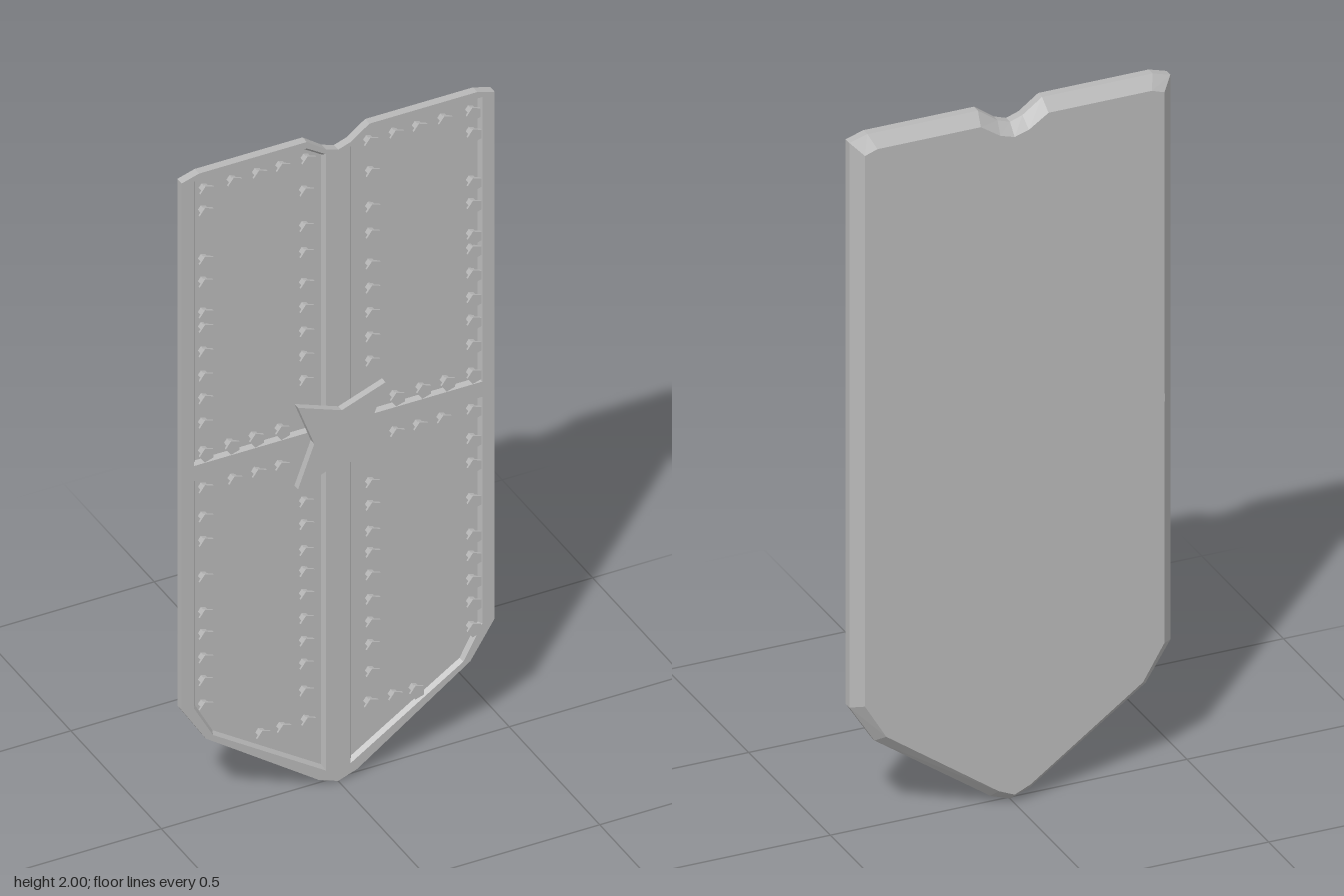
import * as THREE from 'three';

const steel = new THREE.MeshStandardMaterial({ color: 0xb8b8b8, flatShading: true });
steel.name = 'steel grey';

const FRONT = 0.016, FLOOR = 0.004;

// Turns [x, y] pairs into points with a chosen winding
function ring(pairs, clockwise = false) {
  const pts = pairs.map(([x, y]) => new THREE.Vector2(x, y));
  return THREE.ShapeUtils.isClockWise(pts) === clockwise ? pts : pts.reverse();
}

// Right half of an outline, bottom to top, mirrored to a full loop
function symmetric(half) {
  const mirrored = half.slice(1, -1).reverse().map(([x, y]) => [-x, y]);
  return ring([...half, ...mirrored]);
}

// Joins rings at given depths (front to back) and caps the last one
function loft(rings, depths, capSign) {
  const pos = [];
  const put = (p, z) => pos.push(p.x, p.y, z);
  for (let r = 0; r < rings.length - 1; r++) {
    const A = rings[r], B = rings[r + 1], za = depths[r], zb = depths[r + 1];
    for (let i = 0; i < A.length; i++) {
      const j = (i + 1) % A.length;
      put(A[i], za); put(B[i], zb); put(A[j], za);
      put(A[j], za); put(B[i], zb); put(B[j], zb);
    }
  }
  const last = rings[rings.length - 1], z = depths[depths.length - 1];
  for (const tri of THREE.ShapeUtils.triangulateShape(last, [])) {
    const [a, b, c] = tri.map((i) => last[i]);
    const area = (b.x - a.x) * (c.y - a.y) - (b.y - a.y) * (c.x - a.x);
    (area * capSign > 0 ? [a, b, c] : [a, c, b]).forEach((p) => put(p, z));
  }
  const geo = new THREE.BufferGeometry();
  geo.setAttribute('position', new THREE.Float32BufferAttribute(pos, 3));
  geo.computeVertexNormals();
  return geo;
}

export function createModel() {
  const group = new THREE.Group();
  group.name = 'shield';
  const add = (name, geo, parent = group) => {
    const mesh = new THREE.Mesh(geo, steel);
    mesh.name = name;
    parent.add(mesh);
    return mesh;
  };

  // Body: straight rim, then a chamfer to a smaller back face
  const outline = symmetric([[0, 0], [0.055, 0.02], [0.38, 0.25], [0.45, 0.36],
    [0.45, 1.985], [0.4, 2], [0.09, 2], [0.035, 1.96], [0, 1.948]]);
  const backFace = symmetric([[0, 0.025], [0.045, 0.045], [0.36, 0.27], [0.42, 0.37],
    [0.42, 1.955], [0.385, 1.967], [0.095, 1.967], [0.04, 1.93], [0, 1.918]]);
  add('body', loft([outline, outline, backFace], [FRONT, -0.008, -0.037], -1));

  // Four sunken panels with sloping walls: [hole, floor]
  const upper = [
    [[0.035, 1.102], [0.415, 1.102], [0.415, 1.98], [0.09, 1.98], [0.035, 1.945]],
    [[0.043, 1.11], [0.407, 1.11], [0.407, 1.972], [0.093, 1.972], [0.043, 1.94]]];
  const lower = [
    [[0.035, 1.055], [0.035, 0.043], [0.36, 0.255], [0.415, 0.355], [0.415, 1.055]],
    [[0.043, 1.047], [0.043, 0.058], [0.355, 0.261], [0.407, 0.357], [0.407, 1.047]]];
  const face = new THREE.Shape(outline);
  for (const side of [-1, 1]) {
    for (const [name, panel] of [['upperPanel', upper], ['lowerPanel', lower]]) {
      const rings = panel.map((loop) => ring(loop.map(([x, y]) => [x * side, y]), true));
      face.holes.push(new THREE.Path(rings[0]));
      add(name, loft(rings, [FRONT, FLOOR], 1));
    }
  }

  // Rim and cross bars left standing around the panels
  add('frontFrame', new THREE.ShapeGeometry(face).translate(0, 0, FRONT));

  // Four-pointed boss over the crossing
  const star = [];
  for (let i = 0; i < 8; i++) {
    const r = i % 2 ? 0.178 : 0.079, a = (i * Math.PI) / 4;
    star.push(new THREE.Vector2(Math.cos(a) * r, Math.sin(a) * r));
  }
  add('starBoss', new THREE.ExtrudeGeometry(new THREE.Shape(star),
    { depth: 0.02, bevelEnabled: false }).translate(0, 1.077, FRONT));

  // Low ridge across the back, fading out at the centre
  for (const side of [-1, 1]) {
    const y = 1.077, x = 0.42 * side, z = -0.036;
    const top = [x, y + 0.028, z], low = [x, y - 0.028, z], crest = [x, y, -0.041], mid = [0, y, z - 0.001];
    const faces = [top, mid, crest, crest, mid, low, top, crest, low];
    if (side < 0) {
      for (let i = 0; i < 9; i += 3) [faces[i + 1], faces[i + 2]] = [faces[i + 2], faces[i + 1]];
    }
    const geo = new THREE.BufferGeometry();
    geo.setAttribute('position', new THREE.Float32BufferAttribute(faces.flat(), 3));
    geo.computeVertexNormals();
    add('backRidge', geo);
  }

  // Five-sided rivets: a short stem under a wider head
  const stemGeo = new THREE.CylinderGeometry(0.012, 0.012, 0.025, 5).rotateX(-Math.PI / 2);
  const headGeo = new THREE.CylinderGeometry(0.022, 0.022, 0.006, 5).rotateX(-Math.PI / 2);
  stemGeo.rotateZ(0.3);
  headGeo.rotateZ(0.3);
  const spots = [];
  const row = (y, xs) => xs.forEach((x) => spots.push([x, y]));
  const column = (x, ys) => ys.forEach((y) => spots.push([x, y]));
  row(1.947, [0.09, 0.163, 0.23, 0.303, 0.383]);
  row(1.137, [0.165, 0.24, 0.31, 0.385]);
  row(1.025, [0.165, 0.232, 0.3, 0.385]);
  row(0.215, [0.09, 0.16, 0.22]);
  column(0.385, [1.88, 1.73, 1.66, 1.565, 1.52, 1.445, 1.37, 1.3, 1.225]);
  column(0.095, [1.85, 1.74, 1.66, 1.565, 1.49, 1.415, 1.34, 1.265]);
  column(0.385, [0.935, 0.86, 0.75, 0.64, 0.573, 0.5, 0.43, 0.355]);
  column(0.095, [0.89, 0.82, 0.74, 0.675, 0.605, 0.53, 0.46, 0.39, 0.307]);
  for (const [x, y] of spots) {
    for (const side of [-1, 1]) {
      const rivet = new THREE.Group();
      rivet.name = 'rivet';
      rivet.position.set(x * side, y, 0);
      add('rivetStem', stemGeo, rivet).position.z = 0.0165;
      add('rivetHead', headGeo, rivet).position.z = 0.03;
      group.add(rivet);
    }
  }
  return group;
}
